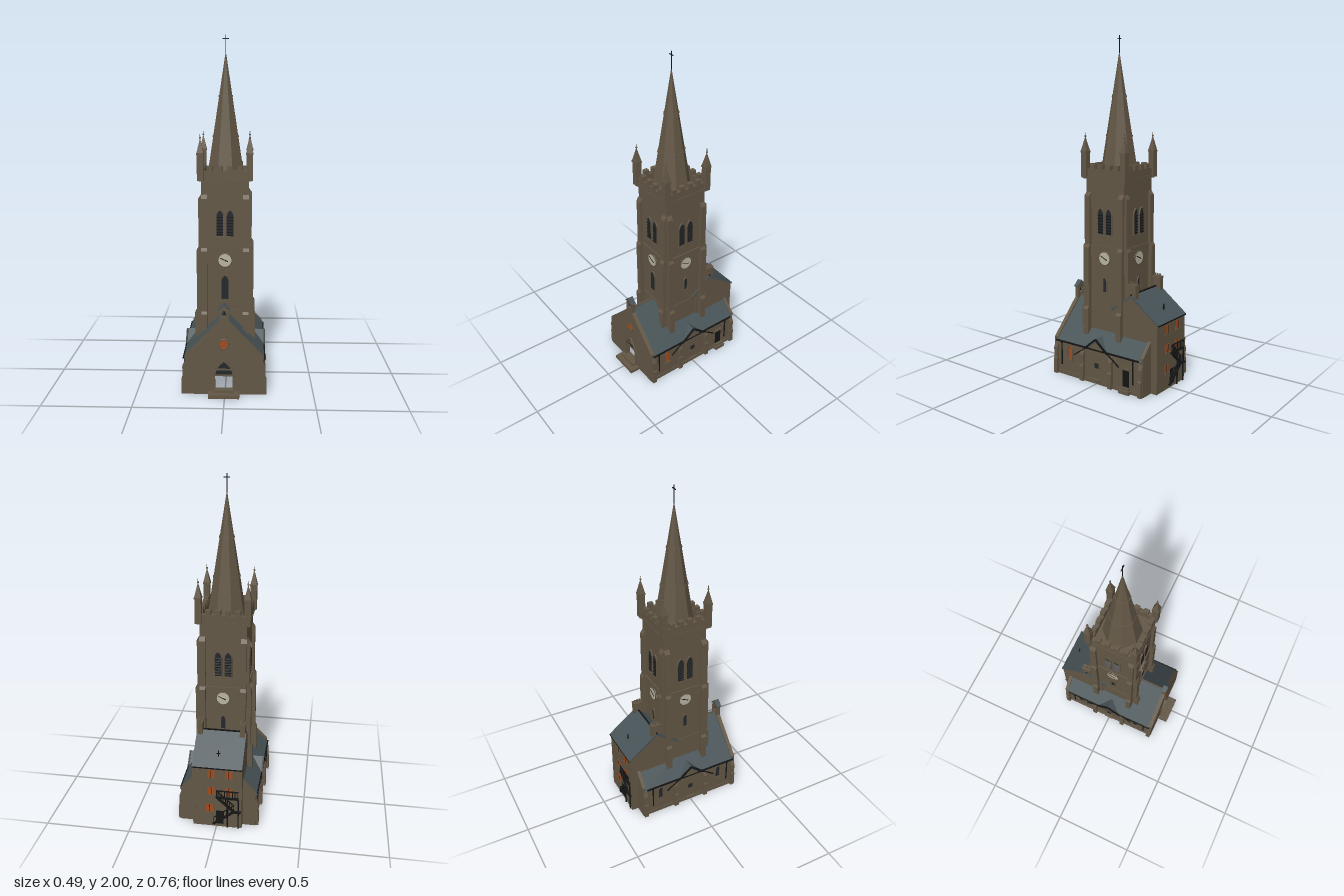
import * as THREE from 'three';

const paint = (name, color) => {
  const m = new THREE.MeshStandardMaterial({ color });
  m.name = name;
  return m;
};

export function createModel() {
  const stone = paint('brown stone', 0x635746);
  const slate = paint('slate', 0x475357);
  const black = paint('black iron', 0x151515);
  const glass = paint('dark glass', 0x24282b);
  const amber = paint('amber glass', 0xa04c1e);
  const cream = paint('clock cream', 0xb9b5a2);

  const root = new THREE.Group();
  root.name = 'church';
  const group = (name, parent) => {
    const g = new THREE.Group();
    g.name = name;
    parent.add(g);
    return g;
  };
  const add = (parent, name, geo, mat, x = 0, y = 0, z = 0) => {
    const m = new THREE.Mesh(geo, mat);
    m.name = name;
    m.position.set(x, y, z);
    parent.add(m);
    return m;
  };
  // Box given by its centre in x and z and its bottom and top in y
  const box = (p, name, mat, w, d, y0, y1, x, z) =>
    add(p, name, new THREE.BoxGeometry(w, y1 - y0, d), mat, x, (y0 + y1) / 2, z);
  const poly = pts => new THREE.Shape(pts.map(p => new THREE.Vector2(p[0], p[1])));
  // Extrusion centred on its depth; 'along x' shapes are drawn in (z, y)
  const extrude = (shape, depth, alongX = false) => {
    const g = new THREE.ExtrudeGeometry(shape, { depth, bevelEnabled: false, curveSegments: 5 });
    g.translate(0, 0, -depth / 2);
    return alongX ? g.rotateY(-Math.PI / 2) : g;
  };
  // Pointed arch standing on y = 0
  const arch = (w, h, y = 0, Type = THREE.Shape) => {
    const s = new Type(), r = w / 2, spring = y + h - w * 0.85;
    s.moveTo(-r, y);
    s.lineTo(r, y);
    s.lineTo(r, spring);
    s.quadraticCurveTo(r * 0.9, y + h - w * 0.3, 0, y + h);
    s.quadraticCurveTo(-r * 0.9, y + h - w * 0.3, -r, spring);
    s.lineTo(-r, y);
    return s;
  };
  const archFrame = (w, h, t, depth) => {
    const s = arch(w + 2 * t, h + 2 * t, -t);
    s.holes.push(arch(w, h, 0, THREE.Path));
    return extrude(s, depth);
  };
  const lancet = (p, w, h, x, y, z, mat) => {
    add(p, 'lancet pane', extrude(arch(w, h), 0.004), mat, x, y, z);
    add(p, 'lancet surround', archFrame(w, h, 0.005, 0.012), stone, x, y, z);
  };
  // Bar between two points in a plane facing z
  const bar = (p, name, mat, x0, y0, x1, y1, z, t, d = t) => {
    const m = add(p, name, new THREE.BoxGeometry(Math.hypot(x1 - x0, y1 - y0), t, d), mat, (x0 + x1) / 2, (y0 + y1) / 2, z);
    m.rotation.z = Math.atan2(y1 - y0, x1 - x0);
    return m;
  };

  // Nave: roof, gabled front wall with open doorway, low rear gable
  const nave = group('nave', root);
  add(nave, 'naveRoof', extrude(poly([[-0.232, 0.206], [-0.222, 0.2], [0, 0.424], [0.222, 0.2], [0.232, 0.206], [0, 0.44]]), 0.62), slate, 0, 0, -0.01);
  box(nave, 'ridge', stone, 0.008, 0.16, 0.434, 0.445, 0, 0.225);
  const front = poly([[-0.222, 0], [0.222, 0], [0.222, 0.225], [0, 0.455], [-0.222, 0.225]]);
  front.holes.push(arch(0.1, 0.165, 0.03, THREE.Path));
  add(nave, 'frontWall', extrude(front, 0.024), stone, 0, 0, 0.308);
  add(nave, 'rearWall', extrude(poly([[-0.222, 0], [-0.14, 0], [-0.14, 0.31], [-0.222, 0.225]]), 0.02), stone, 0, 0, -0.32);
  add(nave, 'rearWall', extrude(poly([[0.222, 0], [0.222, 0.225], [0.14, 0.31], [0.14, 0]]), 0.02), stone, 0, 0, -0.32);
  add(nave, 'doorSurround', archFrame(0.1, 0.165, 0.012, 0.012), stone, 0, 0.03, 0.322);
  add(nave, 'doorFanlight', extrude(arch(0.1, 0.085), 0.006), glass, 0, 0.11, 0.306);
  for (const y of [0.105, 0.14]) box(nave, 'doorBar', stone, 0.1, 0.012, y, y + 0.008, 0, 0.308);
  box(nave, 'frontStep', stone, 0.175, 0.06, 0, 0.02, 0, 0.352);
  box(nave, 'frontStep', stone, 0.115, 0.03, 0.02, 0.035, 0, 0.335);
  const rose = new THREE.CylinderGeometry(0.025, 0.025, 0.006, 20).rotateX(Math.PI / 2);
  add(nave, 'roseWindow', rose, amber, 0, 0.297, 0.32);
  add(nave, 'roseSurround', new THREE.TorusGeometry(0.027, 0.004, 6, 20), stone, 0, 0.297, 0.32);

  // Bellcote over the front gable
  const cote = group('bellcote', nave);
  const coteWall = poly([[-0.028, 0.41], [0.028, 0.41], [0.028, 0.5], [0, 0.525], [-0.028, 0.5]]);
  coteWall.holes.push(arch(0.028, 0.05, 0.452, THREE.Path));
  add(cote, 'belfryWall', extrude(coteWall, 0.026), stone, 0, 0, 0.308);
  add(cote, 'bellcoteRoof', extrude(poly([[-0.036, 0.496], [-0.033, 0.491], [0, 0.523], [0.033, 0.491], [0.036, 0.496], [0, 0.531]]), 0.03), slate, 0, 0, 0.308);
  add(cote, 'bell', new THREE.CylinderGeometry(0.004, 0.01, 0.02, 10), black, 0, 0.475, 0.308);

  // Long sides; local +z points outward, u() turns a model z into local x
  for (const s of [1, -1]) {
    const side = group(s > 0 ? 'leftSide' : 'rightSide', root);
    side.rotation.y = s * Math.PI / 2;
    const u = z => -s * z;
    box(side, 'sideWall', stone, 0.64, 0.016, 0, 0.21, 0, 0.212);
    box(side, 'plinth', stone, 0.63, 0.006, 0, 0.022, 0, 0.222);
    box(side, 'gutter', black, 0.61, 0.008, 0.203, 0.212, 0, 0.229);
    for (const z of [0.304, 0.102, -0.105, -0.314]) {
      const b = poly([[0.21, 0], [0.24, 0], [0.24, 0.09], [0.235, 0.1], [0.235, 0.16], [0.22, 0.195], [0.21, 0.195]]);
      add(side, 'buttress', extrude(b, 0.026, true), stone, u(z));
    }
    // Cross gable
    add(side, 'gableRoof', extrude(poly([[-0.08, 0.206], [0.08, 0.206], [0, 0.275]]), 0.08), slate, 0, 0, 0.188);
    add(side, 'gableWall', extrude(poly([[-0.07, 0.19], [0.07, 0.19], [0, 0.255]]), 0.02), stone, 0, 0, 0.222);
    for (const k of [1, -1]) {
      bar(side, 'bargeBoard', black, 0, 0.271, k * 0.085, 0.2, 0.231, 0.01);
      bar(side, 'gutterPipe', black, k * 0.08, 0.203, k * 0.165, 0.142, 0.227, 0.006);
      box(side, 'downPipe', black, 0.006, 0.006, 0.06, 0.205, k * 0.262, 0.226);
    }
    box(side, 'smallWindow', glass, 0.028, 0.006, 0.095, 0.125, 0, 0.221);
    box(side, 'smallSill', stone, 0.04, 0.012, 0.088, 0.095, 0, 0.223);
    box(side, 'ventStone', stone, 0.055, 0.012, 0.015, 0.03, 0, 0.226);
    lancet(side, 0.028, 0.085, u(0.197), 0.105, 0.22, s > 0 ? amber : glass);
    box(side, 'windowSill', stone, 0.044, 0.014, 0.094, 0.102, u(0.197), 0.223);
    if (s > 0) {
      box(side, 'sideDoor', black, 0.042, 0.008, 0.035, 0.135, u(-0.21), 0.22);
      box(side, 'doorLintel', stone, 0.056, 0.012, 0.135, 0.147, u(-0.21), 0.222);
      box(side, 'sideStep', stone, 0.072, 0.035, 0, 0.02, u(-0.212), 0.232);
      box(side, 'sideStep', stone, 0.055, 0.02, 0.02, 0.034, u(-0.212), 0.228);
    } else lancet(side, 0.028, 0.085, u(-0.21), 0.105, 0.22, glass);
  }

  // Rear block with its own cross roof
  const rear = group('rearBlock', root);
  for (const x of [-0.138, 0.138])
    add(rear, 'rearSideWall', extrude(poly([[-0.37, 0], [-0.31, 0], [-0.31, 0.2], [-0.08, 0.2], [-0.08, 0.45], [-0.19, 0.54], [-0.37, 0.405]]), 0.014, true), stone, x);
  box(rear, 'backWall', stone, 0.29, 0.014, 0, 0.408, 0, -0.362);
  add(rear, 'rearRoof', extrude(poly([[-0.378, 0.406], [-0.374, 0.399], [-0.19, 0.535], [-0.05, 0.43], [-0.05, 0.445], [-0.19, 0.55]]), 0.292, true), slate);
  box(rear, 'ridgeTile', black, 0.292, 0.008, 0.545, 0.554, 0, -0.19);
  box(rear, 'backGutter', black, 0.292, 0.006, 0.398, 0.406, 0, -0.376);
  for (const x of [-0.125, 0.125]) {
    box(rear, 'chimney', stone, 0.03, 0.055, 0.49, 0.6, x, -0.192);
    box(rear, 'chimneyCap', stone, 0.034, 0.058, 0.598, 0.608, x, -0.192);
    for (const z of [-0.208, -0.192, -0.176])
      add(rear, 'chimneyPot', new THREE.CylinderGeometry(0.005, 0.006, 0.016, 8), stone, x, 0.615, z);
  }
  box(rear, 'roofVent', black, 0.005, 0.005, 0.44, 0.488, 0, -0.317);
  box(rear, 'roofVentArm', black, 0.022, 0.005, 0.466, 0.47, 0, -0.317);
  for (const [x, y] of [[0.035, 0.335], [-0.07, 0.335], [0.035, 0.22], [-0.07, 0.22], [0.045, 0.1]]) {
    box(rear, 'backWindow', amber, 0.042, 0.006, y, y + 0.05, x, -0.368);
    box(rear, 'backSill', stone, 0.054, 0.01, y - 0.008, y, x, -0.369);
    box(rear, 'backMullion', black, 0.003, 0.004, y, y + 0.05, x, -0.3705);
  }
  box(rear, 'backDoor', black, 0.045, 0.006, 0.02, 0.11, -0.015, -0.368);
  // Fire escape: two flights, landings and rails
  const escape = group('fireEscape', rear);
  const flights = [[0.02, 0.02, -0.1, 0.115], [-0.1, 0.115, 0.0, 0.205]];
  for (const [x0, y0, x1, y1] of flights) {
    bar(escape, 'stringer', black, x0, y0, x1, y1, -0.375, 0.012, 0.01);
    bar(escape, 'handrail', black, x0, y0 + 0.045, x1, y1 + 0.045, -0.377, 0.005);
    for (let i = 0; i <= 8; i++) {
      const x = x0 + (x1 - x0) * i / 8, y = y0 + (y1 - y0) * i / 8;
      box(escape, 'baluster', black, 0.004, 0.004, y, y + 0.045, x, -0.377);
      box(escape, 'tread', black, 0.016, 0.012, y, y + 0.005, x, -0.375);
    }
  }
  box(escape, 'landing', black, 0.05, 0.014, 0.108, 0.118, -0.115, -0.375);
  box(escape, 'landing', black, 0.13, 0.014, 0.2, 0.21, -0.06, -0.375);
  box(escape, 'landingRail', black, 0.13, 0.005, 0.25, 0.256, -0.06, -0.377);
  for (let i = 0; i < 9; i++) box(escape, 'post', black, 0.004, 0.004, 0.2, 0.254, -0.122 + i * 0.0155, -0.377);
  for (const x of [-0.125, -0.06]) box(escape, 'support', black, 0.007, 0.007, 0, 0.2, x, -0.375);

  // Tower body
  const tower = group('tower', root);
  box(tower, 'towerLower', stone, 0.276, 0.276, 0.22, 0.8, 0, 0);
  box(tower, 'towerUpper', stone, 0.27, 0.27, 0.8, 1.2, 0, 0);
  for (const y of [0.432, 0.796]) box(tower, 'stringCourse', stone, 0.284, 0.284, y, y + 0.01, 0, 0);
  box(tower, 'cornice', stone, 0.296, 0.296, 1.19, 1.206, 0, 0);
  // Each tower face, drawn with local +z outward
  for (let i = 0; i < 4; i++) {
    const face = group('towerFace', tower);
    face.rotation.y = i * Math.PI / 2;
    for (const k of [1, -1]) {
      const b = poly([[0.12, 0.24], [0.174, 0.24], [0.174, 0.42], [0.163, 0.435], [0.163, 0.79], [0.152, 0.808], [0.152, 1.09], [0.134, 1.115], [0.12, 1.115]]);
      add(face, 'towerButtress', extrude(b, 0.034, true), stone, k * 0.119);
      lancet(face, 0.038, 0.15, k * 0.029, 0.875, 0.137, glass);
      for (let j = 0; j < 7; j++) {
        const slat = box(face, 'louvre', black, 0.036, 0.01, 0, 0.004, k * 0.029, 0.14);
        slat.position.y = 0.886 + j * 0.0165;
        slat.rotation.x = 0.6;
      }
    }
    // Clock
    const dial = new THREE.CylinderGeometry(0.038, 0.038, 0.01, 28).rotateX(Math.PI / 2);
    add(face, 'clockFace', dial, cream, 0, 0.735, 0.14);
    add(face, 'clockRim', new THREE.TorusGeometry(0.039, 0.003, 6, 28), stone, 0, 0.735, 0.143);
    bar(face, 'minuteHand', black, 0, 0.735, -0.027, 0.748, 0.146, 0.004, 0.002);
    bar(face, 'hourHand', black, 0, 0.735, 0.018, 0.727, 0.146, 0.005, 0.002);
    if (i === 0) lancet(face, 0.042, 0.14, 0, 0.505, 0.139, glass);
    else lancet(face, 0.022, 0.085, 0, 0.535, 0.139, glass);
    // Battlements
    box(face, 'parapet', stone, 0.286, 0.026, 1.2, 1.248, 0, 0.132);
    for (const x of [-0.084, -0.028, 0.028, 0.084]) box(face, 'merlon', stone, 0.03, 0.026, 1.246, 1.275, x, 0.132);
    // Corner pinnacle
    const pin = group('pinnacle', face);
    pin.position.set(0.139, 0, 0.139);
    box(pin, 'pinnacleShaft', stone, 0.036, 0.036, 1.195, 1.345, 0, 0);
    box(pin, 'pinnacleCollar', stone, 0.041, 0.041, 1.34, 1.35, 0, 0);
    const cap = new THREE.ConeGeometry(0.027, 0.085, 4).rotateY(Math.PI / 4).toNonIndexed();
    cap.computeVertexNormals();
    add(pin, 'pinnacleCap', cap, stone, 0, 1.392, 0);
    add(pin, 'finial', new THREE.SphereGeometry(0.006, 8, 6), stone, 0, 1.434, 0);
    box(pin, 'finialSpike', stone, 0.003, 0.003, 1.434, 1.455, 0, 0);
  }

  // Octagonal spire with raised bands and a cross
  const spire = group('spire', root);
  const octagon = (name, y0, y1, grow) => {
    const r = y => 0.114 * (1.91 - y) / 0.71 + grow;
    const g = new THREE.CylinderGeometry(r(y1), r(y0), y1 - y0, 8).rotateY(Math.PI / 8).toNonIndexed();
    g.computeVertexNormals();
    add(spire, name, g, stone, 0, (y0 + y1) / 2, 0);
  };
  octagon('spireCone', 1.2, 1.908, 0.0005);
  for (const y of [1.43, 1.655]) octagon('spireBand', y, y + 0.012, 0.004);
  box(spire, 'crossPost', black, 0.004, 0.004, 1.9, 2, 0, 0);
  box(spire, 'crossArm', black, 0.034, 0.004, 1.978, 1.982, 0, 0);

  root.position.x = -0.005;
  const model = new THREE.Group();
  model.name = 'churchModel';
  model.add(root);
  return model;
}
